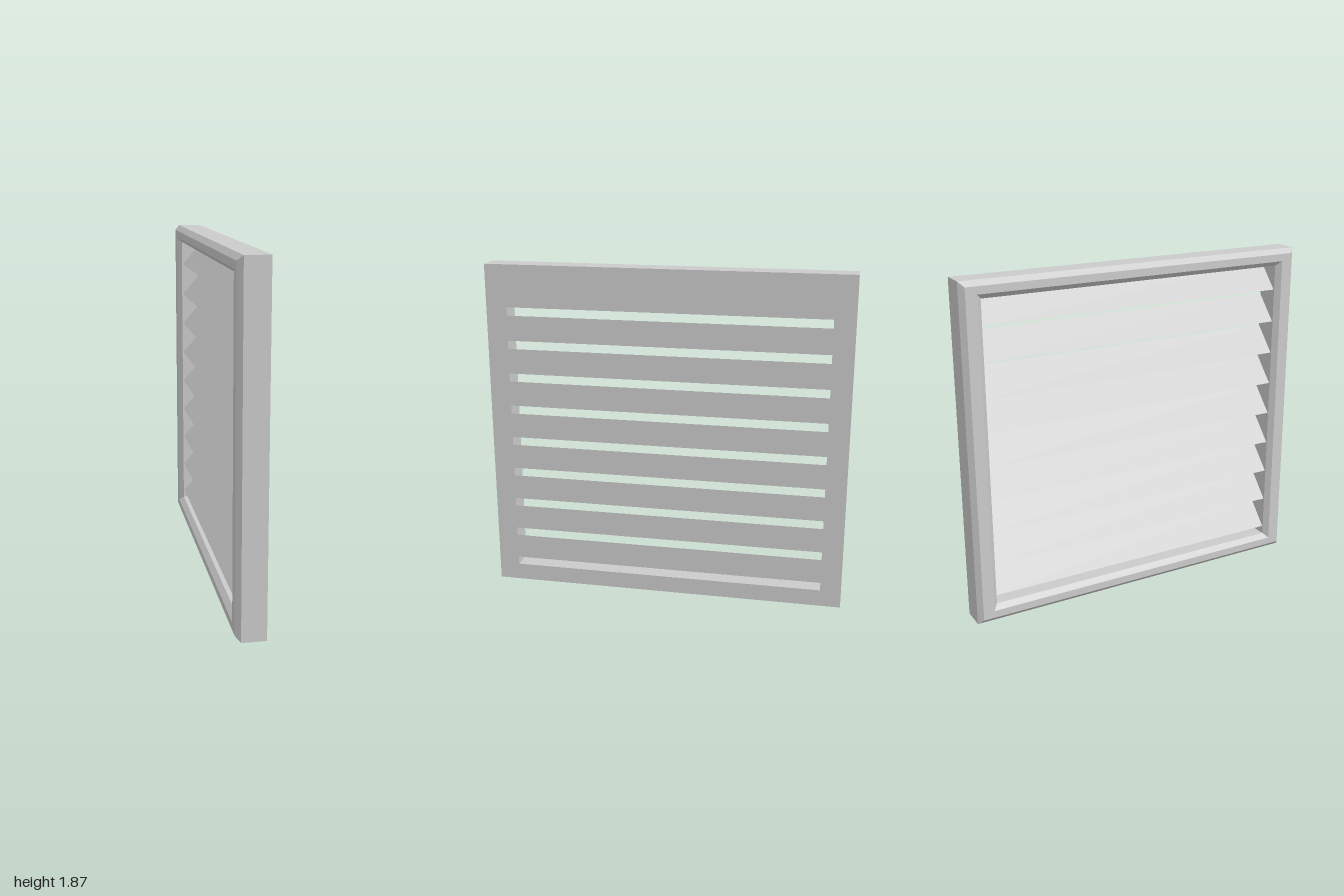
import * as THREE from 'three';

const H = 1.865, D = 0.078;          // height, half thickness
const SIDE = 0.115, END = 0.095;     // rim width at the sides, at top and bottom
const BEVEL = 0.027;
const SLATS = 9, SLAT_H = 0.14, GAP = 0.0463;

// Mitred rectangular frame: a closed profile of [x, z inset, y inset] carried round four corners
function frameGeometry(profile) {
  const pos = [];
  const corners = [[-1, 0], [1, 0], [1, 1], [-1, 1]];
  const point = ([x, inZ, inY], [sz, top]) => [x, top ? H - inY : inY, sz * (1 - inZ)];
  corners.forEach((c, i) => {
    const n = corners[(i + 1) % 4];
    profile.forEach((p, j) => {
      const q = profile[(j + 1) % profile.length];
      const a = point(p, c), b = point(q, c), d = point(p, n), e = point(q, n);
      pos.push(...a, ...b, ...e, ...a, ...e, ...d);
    });
  });
  const g = new THREE.BufferGeometry();
  g.setAttribute('position', new THREE.Float32BufferAttribute(pos, 3));
  g.computeVertexNormals();
  return g;
}

export function createModel() {
  const group = new THREE.Group();
  const material = new THREE.MeshStandardMaterial({ color: 0xcccccc, flatShading: true, side: THREE.DoubleSide });

  // Surround, chamfered on both edges of its louvred side
  const frame = new THREE.Mesh(frameGeometry([
    [D, 0, 0],
    [-D + BEVEL, 0, 0],
    [-D, BEVEL, BEVEL],
    [-D, SIDE - BEVEL, END - BEVEL],
    [-D + BEVEL, SIDE, END],
    [D, SIDE, END],
  ]), material);
  frame.name = 'frame';
  group.add(frame);

  // Wedge slats: flush with the flat face, sloping down towards the other
  const wedge = new THREE.Shape([
    new THREE.Vector2(D, 0),
    new THREE.Vector2(D, SLAT_H),
    new THREE.Vector2(-0.046, 0),
  ]);
  const length = 2 * (1 - SIDE);
  const slatGeometry = new THREE.ExtrudeGeometry(wedge, { depth: length, bevelEnabled: false });
  slatGeometry.translate(0, 0, -length / 2);
  const slats = new THREE.Group();
  slats.name = 'louvreSlats';
  for (let i = 0; i < SLATS; i++) {
    const slat = new THREE.Mesh(slatGeometry, material);
    slat.name = 'slat' + (i + 1);
    slat.position.y = END + GAP + i * (SLAT_H + GAP);
    slats.add(slat);
  }
  group.add(slats);
  return group;
}
